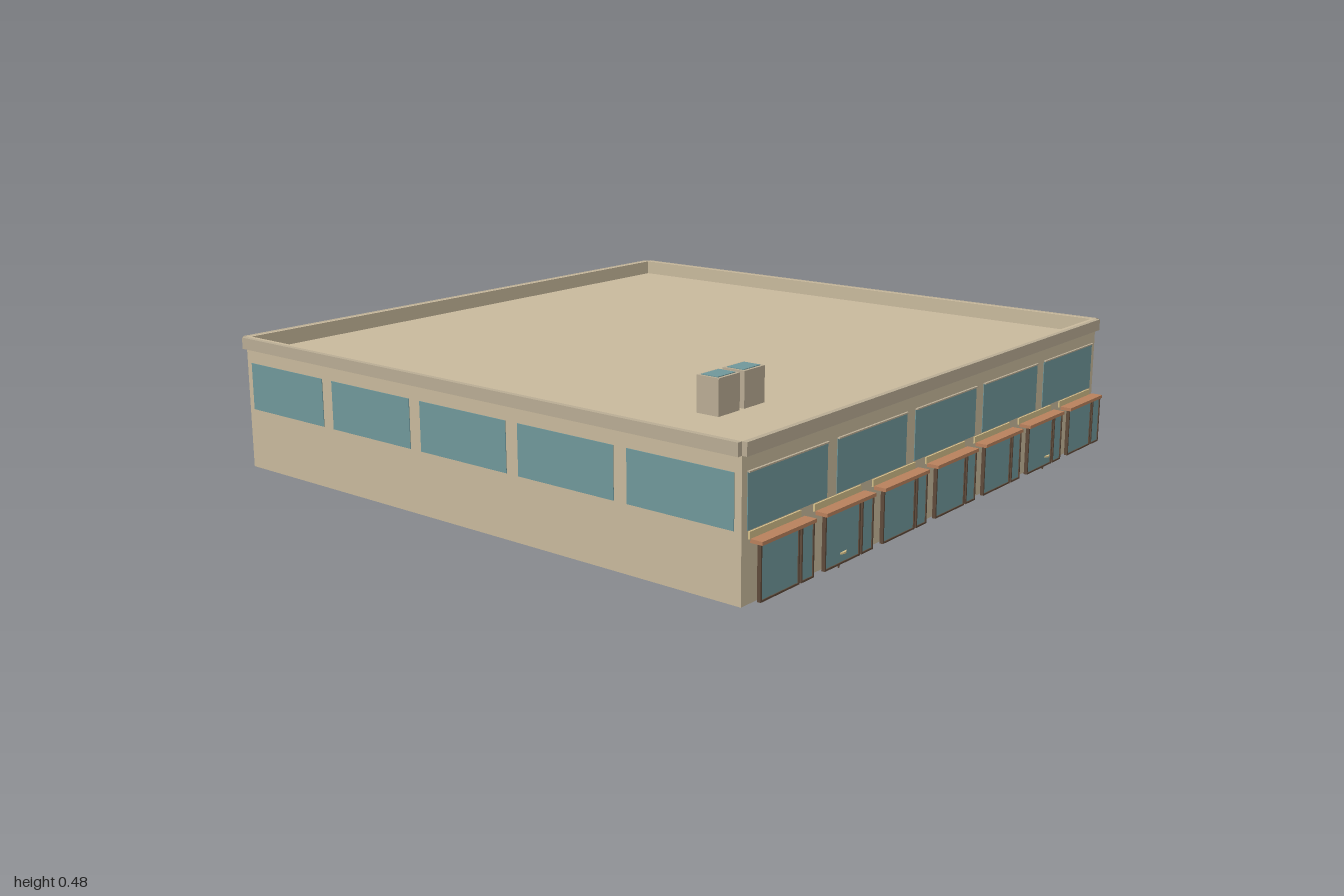
import * as THREE from 'three';

const mat = (color) => new THREE.MeshStandardMaterial({ color });
const wall = mat(0xc8b99c);
const trim = mat(0xb9ac94);
const glass = mat(0x6f979a);
const frame = mat(0x5e4a3a);
const awningMat = mat(0xb8805c);
const signMat = mat(0xd2bd88);

// Box given by its min and max on each axis
function box(parent, name, material, [x0, x1], [y0, y1], [z0, z1]) {
  const mesh = new THREE.Mesh(new THREE.BoxGeometry(x1 - x0, y1 - y0, z1 - z0), material);
  mesh.position.set((x0 + x1) / 2, (y0 + y1) / 2, (z0 + z1) / 2);
  mesh.name = name;
  parent.add(mesh);
  return mesh;
}

const X = 0.967, FRONT = 0.952, BACK = -0.982, ROOF = 0.372, TOP = 0.42;
const MID = (FRONT + BACK) / 2;

// Five wide upper windows along each side
function addUpperWindows(parent) {
  const sides = [
    ['front', 0, 0, FRONT, X], ['back', Math.PI, 0, BACK, X],
    ['left', Math.PI / 2, X, MID, X], ['right', -Math.PI / 2, -X, MID, X],
  ];
  for (const [side, angle, x, z] of sides) {
    const row = new THREE.Group();
    row.name = `${side}UpperWindows`;
    row.position.set(x, 0, z);
    row.rotation.y = angle;
    for (let i = -2; i <= 2; i++) {
      const c = i * 0.387;
      box(row, 'upperWindow', glass, [c - 0.171, c + 0.171], [0.191, 0.339], [-0.004, 0.002]);
      // Thin header over the front and back windows
      if (x === 0) box(row, 'windowHeader', trim, [c - 0.171, c + 0.171], [0.338, 0.342], [0, 0.007]);
    }
    parent.add(row);
  }
}

// Glass pane inside a dark rectangular frame
function framedPane(parent, name, x0, x1) {
  const t = 0.005, y0 = 0.016, y1 = 0.166, z = [0.984, 0.995];
  box(parent, `${name}Glass`, glass, [x0 + t, x1 - t], [y0 + t, y1 - t], [0.987, 0.992]);
  box(parent, `${name}Frame`, frame, [x0, x0 + t], [y0, y1], z);
  box(parent, `${name}Frame`, frame, [x1 - t, x1], [y0, y1], z);
  box(parent, `${name}Frame`, frame, [x0 + t, x1 - t], [y0, y0 + t], z);
  box(parent, `${name}Frame`, frame, [x0 + t, x1 - t], [y1 - t, y1], z);
}

function shopFront(x) {
  const g = new THREE.Group();
  g.name = 'shopFront';
  g.position.x = x;
  framedPane(g, 'displayWindow', -0.114, 0.05);
  framedPane(g, 'door', 0.058, 0.114);
  box(g, 'awning', awningMat, [-0.115, 0.115], [0.163, 0.173], [0.963, 1.0]);
  box(g, 'signBoard', signMat, [-0.109, 0.109], [0.168, 0.188], [FRONT - 0.002, FRONT + 0.005]);
  return g;
}

function table(x) {
  const g = new THREE.Group();
  g.name = 'table';
  g.position.set(x, 0, 0.979);
  const top = new THREE.Mesh(new THREE.CylinderGeometry(0.02, 0.02, 0.005, 16), signMat);
  top.name = 'tableTop';
  top.position.y = 0.045;
  const leg = new THREE.Mesh(new THREE.CylinderGeometry(0.003, 0.003, 0.043, 8), frame);
  leg.name = 'tableLeg';
  leg.position.y = 0.0215;
  g.add(top, leg);
  return g;
}

export function createModel() {
  const model = new THREE.Group();
  model.name = 'shopBuilding';

  box(model, 'body', wall, [-X, X], [0, ROOF], [BACK, FRONT]);

  // Parapet rising around the sunken roof
  const p = 0.012;
  for (const [x0, x1] of [[-X, -X + p], [X - p, X]])
    box(model, 'parapet', wall, [x0, x1], [ROOF, TOP], [BACK, FRONT]);
  for (const [z0, z1] of [[BACK, BACK + p], [FRONT - p, FRONT]])
    box(model, 'parapet', wall, [-X + p, X - p], [ROOF, TOP], [z0, z1]);

  // Cornice boards on each side, open at the corners
  for (const [x0, x1] of [[-0.983, -X], [X, 0.983]])
    box(model, 'cornice', trim, [x0, x1], [0.384, TOP], [BACK, FRONT]);
  for (const [z0, z1] of [[-0.998, BACK], [FRONT, 0.967]])
    box(model, 'cornice', trim, [-X, X], [0.384, TOP], [z0, z1]);

  addUpperWindows(model);
  for (let i = -3; i <= 3; i++) model.add(shopFront(i * 0.277));
  for (const x of [-0.58, 0.577]) model.add(table(x));

  // Roof boxes with glazed tops
  for (const x of [-0.632, -0.52]) {
    box(model, 'roofBox', trim, [x - 0.046, x + 0.046], [ROOF, 0.476], [0.583, 0.657]);
    box(model, 'skylight', glass, [x - 0.038, x + 0.038], [0.474, 0.478], [0.592, 0.648]);
  }
  return model;
}
